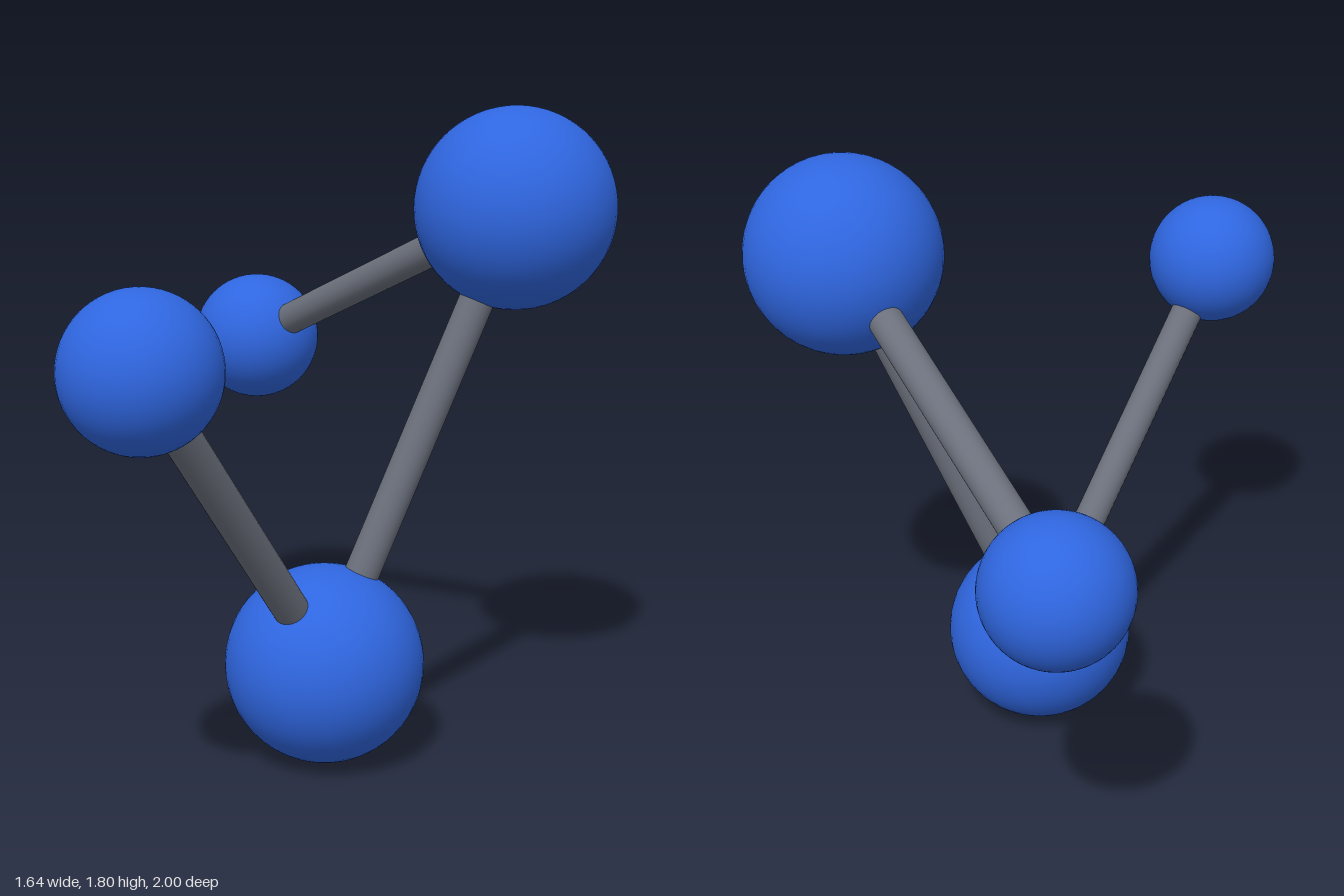
import * as THREE from 'three';

export function createModel() {
  const group = new THREE.Group();
  group.name = 'ballAndStickModel';
  const blue = new THREE.MeshStandardMaterial({ name: 'blue', color: 0x2f66e0 });
  const grey = new THREE.MeshStandardMaterial({ name: 'grey', color: 0x6b707c });

  // Ball: [x, y, z, radius]
  const balls = {
    lowerLargeBall: [0, 0.277, 0.23, 0.277],
    upperLargeBall: [0.54, 1.524, 0.23, 0.277],
    frontSmallBall: [-0.622, 1.237, 0.803, 0.197],
    backSmallBall: [0.088, 1.027, -0.803, 0.197],
  };
  const centres = {};
  for (const [name, [x, y, z, radius]] of Object.entries(balls)) {
    const ball = new THREE.Mesh(new THREE.SphereGeometry(radius, 48, 32), blue);
    ball.name = name;
    ball.position.set(x, y, z);
    centres[name] = ball.position;
    group.add(ball);
  }

  // Rod running between two ball centres
  const addRod = (name, a, b) => {
    const span = new THREE.Vector3().subVectors(b, a);
    const rod = new THREE.Mesh(new THREE.CylinderGeometry(0.049, 0.049, span.length(), 24), grey);
    rod.name = name;
    rod.position.addVectors(a, b).multiplyScalar(0.5);
    rod.quaternion.setFromUnitVectors(new THREE.Vector3(0, 1, 0), span.normalize());
    group.add(rod);
  };
  addRod('centreRod', centres.lowerLargeBall, centres.upperLargeBall);
  addRod('frontRod', centres.lowerLargeBall, centres.frontSmallBall);
  addRod('backRod', centres.upperLargeBall, centres.backSmallBall);

  return group;
}
